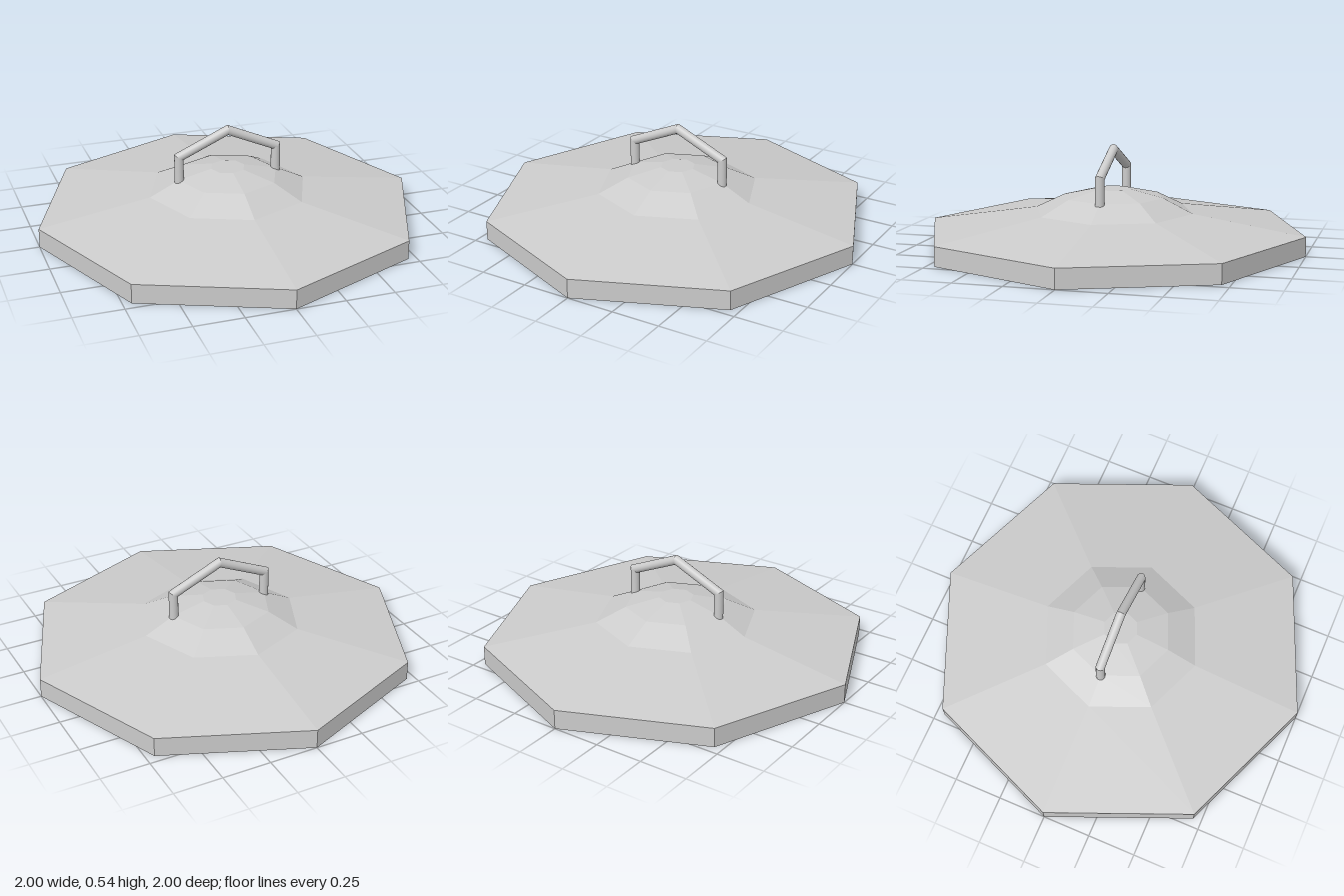
import * as THREE from 'three';

const grey = (options = {}) => new THREE.MeshStandardMaterial({ color: 0xcccccc, ...options });

// Round rod from a to b whose ends are cut along the planes with normals cutA and cutB
function mitredRod(a, b, cutA, cutB, radius) {
  const dir = b.clone().sub(a).normalize();
  const length = a.distanceTo(b);
  const geometry = new THREE.CylinderGeometry(radius, radius, length, 16);
  geometry.rotateZ(Math.atan2(dir.y, dir.x) - Math.PI / 2);
  const mid = a.clone().add(b).multiplyScalar(0.5);
  geometry.translate(mid.x, mid.y, mid.z);

  // Slide every end vertex along the rod onto its mitre plane
  const pos = geometry.attributes.position;
  const v = new THREE.Vector3();
  for (let i = 0; i < pos.count; i++) {
    v.fromBufferAttribute(pos, i);
    const atB = v.clone().sub(mid).dot(dir) > 0;
    const end = atB ? b : a;
    const cut = atB ? cutB : cutA;
    v.addScaledVector(dir, -v.clone().sub(end).dot(cut) / dir.dot(cut));
    pos.setXYZ(i, v.x, v.y, v.z);
  }
  return geometry;
}

export function createModel() {
  const model = new THREE.Group();
  model.name = 'potLid';

  // Eight-sided hollow lid, open below
  const profile = [[1, 0], [1, 0.1], [0.42, 0.19], [0.265, 0.265], [0.09, 0.305], [0, 0.305]]
    .map(([r, y]) => new THREE.Vector2(r, y));
  const lid = new THREE.Mesh(
    new THREE.LatheGeometry(profile, 8),
    grey({ flatShading: true, side: THREE.DoubleSide })
  );
  lid.name = 'lid';
  model.add(lid);

  // Bent rod handle: two posts and a peaked grip
  const handle = new THREE.Group();
  handle.name = 'handle';
  const path = [[-0.262, 0.252], [-0.262, 0.393], [0, 0.509], [0.262, 0.393], [0.262, 0.252]]
    .map(([x, y]) => new THREE.Vector3(x, y, 0));
  const dirs = path.slice(1).map((p, i) => p.clone().sub(path[i]).normalize());
  const cuts = path.map((_, i) =>
    (dirs[i - 1] ?? dirs[i]).clone().add(dirs[i] ?? dirs[i - 1]).normalize());
  const names = ['rightPost', 'rightGrip', 'leftGrip', 'leftPost'];
  const material = grey();
  names.forEach((name, i) => {
    const rod = new THREE.Mesh(
      mitredRod(path[i], path[i + 1], cuts[i], cuts[i + 1], 0.024), material);
    rod.name = name;
    handle.add(rod);
  });
  model.add(handle);

  return model;
}
